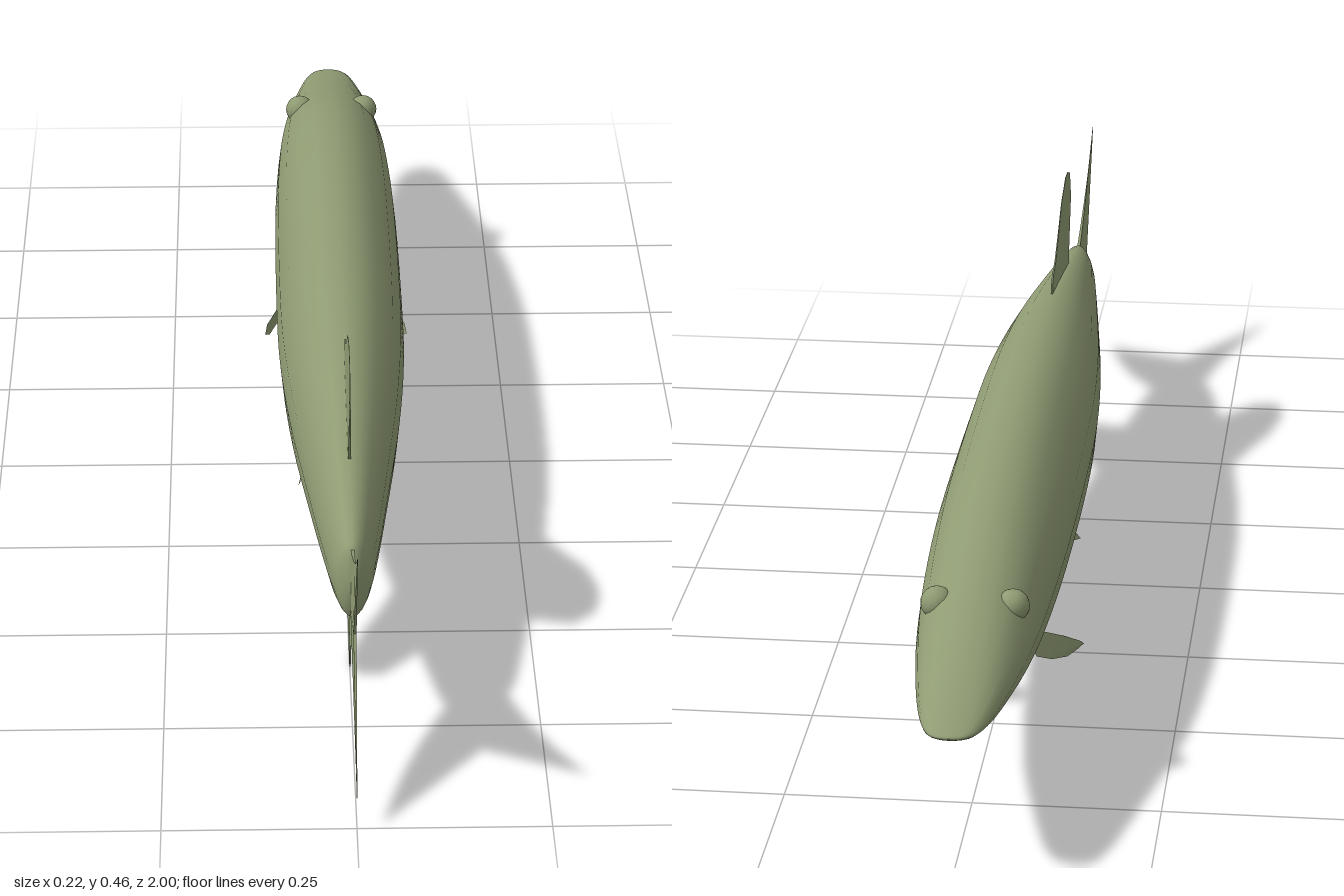
import * as THREE from 'three';

const skin = new THREE.MeshStandardMaterial({ color: 0x8f9b73 });
skin.name = 'olive skin';
skin.side = THREE.DoubleSide;

// Body stations from snout to tail root: z, half width, top y, bottom y
const STATIONS = [
  [-1.0, 0, 0.209, 0.209], [-0.993, 0.022, 0.214, 0.203], [-0.965, 0.037, 0.221, 0.193],
  [-0.9, 0.052, 0.236, 0.176], [-0.8, 0.067, 0.265, 0.153], [-0.7, 0.078, 0.294, 0.131],
  [-0.58, 0.086, 0.322, 0.112], [-0.38, 0.092, 0.346, 0.092], [-0.1, 0.0925, 0.356, 0.075],
  [0.1, 0.089, 0.355, 0.077], [0.3, 0.076, 0.341, 0.096], [0.5, 0.055, 0.314, 0.124],
  [0.65, 0.038, 0.29, 0.149], [0.725, 0.027, 0.277, 0.161], [0.75, 0.017, 0.265, 0.17],
  [0.762, 0, 0.217, 0.217],
];

// Smooth loft of elliptical rings through the stations
function bodyGeometry(sides = 20, rings = 60) {
  const size = new THREE.CatmullRomCurve3(
    STATIONS.map(([, w, t, b]) => new THREE.Vector3(w, t, b)), false, 'catmullrom', 0.5);
  const along = new THREE.SplineCurve(STATIONS.map(([z]) => new THREE.Vector2(z, 0)));
  const pos = [], index = [];
  for (let i = 0; i <= rings; i++) {
    const { x: w, y: top, z: bottom } = size.getPoint(i / rings);
    const z = along.getPoint(i / rings).x;
    for (let j = 0; j < sides; j++) {
      const a = (j / sides) * Math.PI * 2;
      pos.push(w * Math.cos(a), (top + bottom) / 2 + (top - bottom) / 2 * Math.sin(a), z);
      if (i === rings) continue;
      const p = i * sides + j, q = i * sides + (j + 1) % sides;
      index.push(p, q, p + sides, q, q + sides, p + sides);
    }
  }
  const g = new THREE.BufferGeometry();
  g.setAttribute('position', new THREE.Float32BufferAttribute(pos, 3));
  g.setIndex(index);
  g.computeVertexNormals();
  return g;
}

// Thin upright fin from a shape drawn in (z, y), tapering away from the body axis
function finGeometry(shape) {
  const g = new THREE.ExtrudeGeometry(shape, { depth: 1, bevelEnabled: false, curveSegments: 10 });
  const p = g.attributes.position;
  for (let i = 0; i < p.count; i++) {
    const z = p.getX(i), y = p.getY(i);
    const reach = Math.abs(y - 0.21) + Math.max(0, z - 0.76) * 0.6;
    const thick = Math.max(0.0008, 0.006 * (1 - reach / 0.25));
    p.setXYZ(i, (0.5 - p.getZ(i)) * thick, y, z);
  }
  g.computeVertexNormals();
  return g;
}

// Flat fin fanned from an outline of [x, y, z] points
function bladeGeometry(outline) {
  const g = new THREE.BufferGeometry();
  const tris = THREE.ShapeUtils.triangulateShape(
    outline.map(([, y, z]) => new THREE.Vector2(z, y)), []);
  g.setAttribute('position', new THREE.Float32BufferAttribute(outline.flat(), 3));
  g.setIndex(tris.flat());
  g.computeVertexNormals();
  return g;
}

const polygon = (pts) => new THREE.Shape(pts.map(([z, y]) => new THREE.Vector2(z, y)));

export function createModel() {
  const model = new THREE.Group();
  model.name = 'fish';
  const add = (name, geometry) => {
    const mesh = new THREE.Mesh(geometry, skin);
    mesh.name = name;
    model.add(mesh);
    return mesh;
  };

  add('body', bodyGeometry());

  // Forked tail
  const tail = new THREE.Shape();
  tail.moveTo(0.73, 0.262);
  tail.lineTo(0.755, 0.268);
  tail.quadraticCurveTo(0.88, 0.31, 1.0, 0.392).lineTo(0.88, 0.217);
  tail.lineTo(1.0, 0.045);
  tail.quadraticCurveTo(0.86, 0.085, 0.755, 0.165);
  tail.lineTo(0.73, 0.175);
  add('tailFin', finGeometry(tail));

  // Back and belly fins set far behind
  add('dorsalFin', finGeometry(polygon([
    [0.56, 0.29], [0.57, 0.32], [0.61, 0.4], [0.595, 0.442], [0.56, 0.454], [0.525, 0.456],
    [0.46, 0.436], [0.41, 0.402], [0.365, 0.375], [0.325, 0.364], [0.313, 0.355], [0.315, 0.32],
  ])));
  add('analFin', finGeometry(polygon([
    [0.57, 0.16], [0.59, 0.13], [0.632, 0.055], [0.62, 0.016], [0.585, 0.0], [0.54, 0.01],
    [0.5, 0.032], [0.46, 0.06], [0.42, 0.082], [0.392, 0.088], [0.385, 0.13],
  ])));

  // Paired fins and eyes
  for (const [side, s] of [['left', 1], ['right', -1]]) {
    add(side + 'PectoralFin', bladeGeometry([
      [0.046, 0.11, -0.465], [0.056, 0.085, -0.46], [0.073, 0.064, -0.42], [0.09, 0.049, -0.375],
      [0.102, 0.046, -0.34], [0.109, 0.05, -0.33], [0.106, 0.06, -0.345], [0.086, 0.08, -0.375],
      [0.062, 0.098, -0.405], [0.05, 0.11, -0.43],
    ].map(([x, y, z]) => [s * x, y, z])));

    add(side + 'PelvicFin', bladeGeometry([
      [0.115, 0.024], [0.105, 0.042], [0.07, 0.076], [0.06, 0.095], [-0.01, 0.095],
      [0.0, 0.078], [0.04, 0.056], [0.08, 0.035],
    ].map(([z, y]) => [s * (0.03 + (0.08 - y) * 0.6), y, z])));

    const eye = add(side + 'Eye', new THREE.SphereGeometry(0.022, 16, 12));
    eye.position.set(s * 0.05, 0.266, -0.705);
  }
  return model;
}
